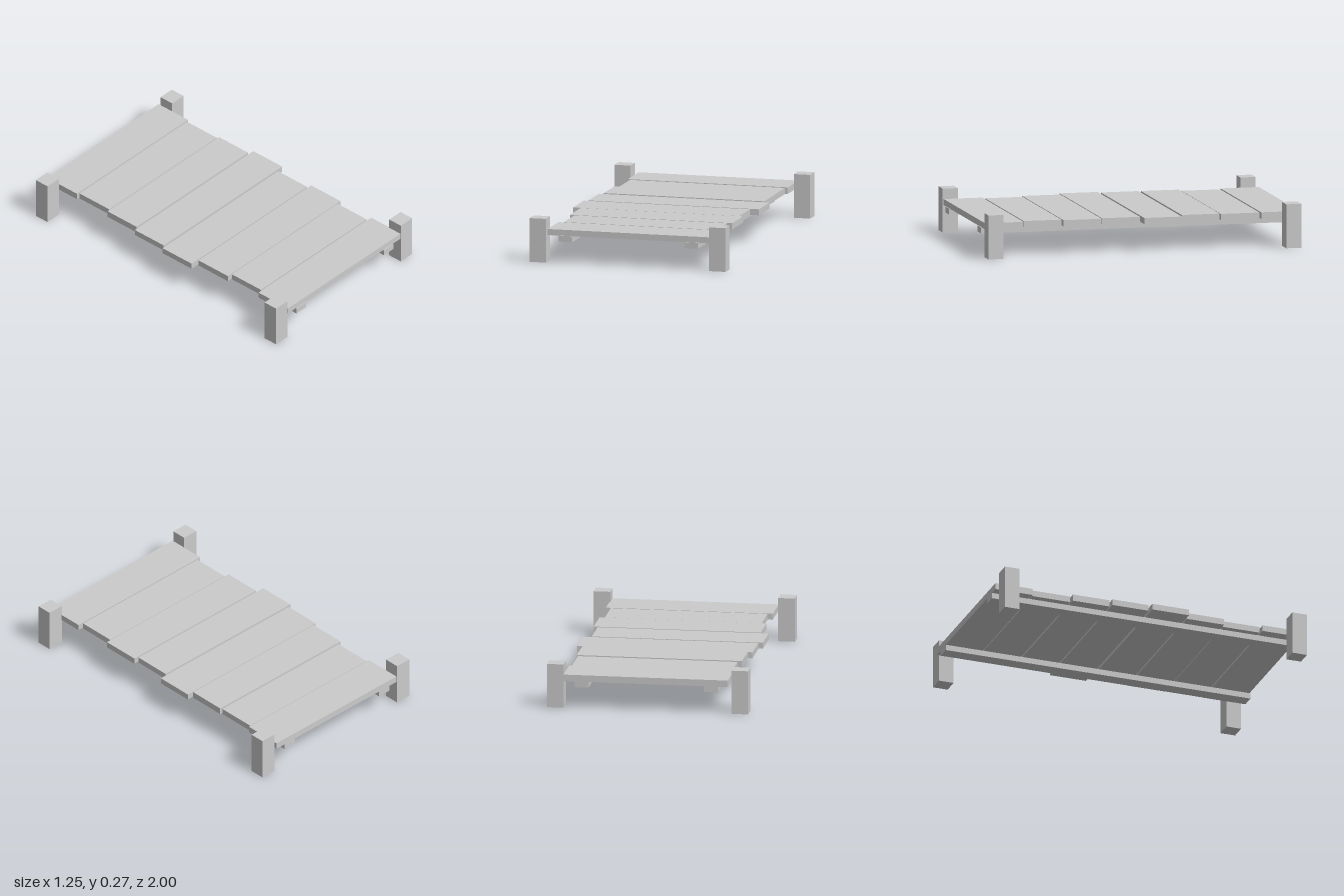
import * as THREE from 'three';

const material = new THREE.MeshStandardMaterial({ color: 0xcccccc, flatShading: true });

// Box given by its [min, max] extent on each axis
function addBox(group, name, [x0, x1], [y0, y1], [z0, z1]) {
  const mesh = new THREE.Mesh(new THREE.BoxGeometry(x1 - x0, y1 - y0, z1 - z0), material);
  mesh.position.set((x0 + x1) / 2, (y0 + y1) / 2, (z0 + z1) / 2);
  mesh.name = name;
  group.add(mesh);
}

export function createModel() {
  const bridge = new THREE.Group();
  bridge.name = 'plankBridge';

  // Deck planks, back to front: left edge, right edge, back, front, top
  const planks = [
    [-0.503, 0.519, -1.0, -0.757, 0.213],
    [-0.487, 0.503, -0.75, -0.505, 0.21],
    [-0.513, 0.513, -0.495, -0.255, 0.214],
    [-0.54, 0.55, -0.246, -0.008, 0.21],
    [-0.566, 0.497, 0.006, 0.246, 0.21],
    [-0.513, 0.524, 0.255, 0.497, 0.211],
    [-0.482, 0.492, 0.502, 0.741, 0.21],
    [-0.513, 0.524, 0.75, 0.994, 0.21],
  ];
  planks.forEach(([x0, x1, z0, z1, top], i) =>
    addBox(bridge, `plank${i + 1}`, [x0, x1], [0.172, top], [z0, z1]));

  // Two rails running under the deck
  addBox(bridge, 'rightRail', [-0.443, -0.355], [0.136, 0.173], [-1, 1]);
  addBox(bridge, 'leftRail', [0.362, 0.45], [0.136, 0.173], [-1, 1]);

  // Corner posts
  for (const [side, x] of [['Right', [-0.627, -0.523]], ['Left', [0.52, 0.624]]]) {
    addBox(bridge, `front${side}Post`, x, [0, 0.273], [0.902, 0.998]);
    addBox(bridge, `back${side}Post`, x, [0, 0.273], [-0.985, -0.889]);
  }
  return bridge;
}
